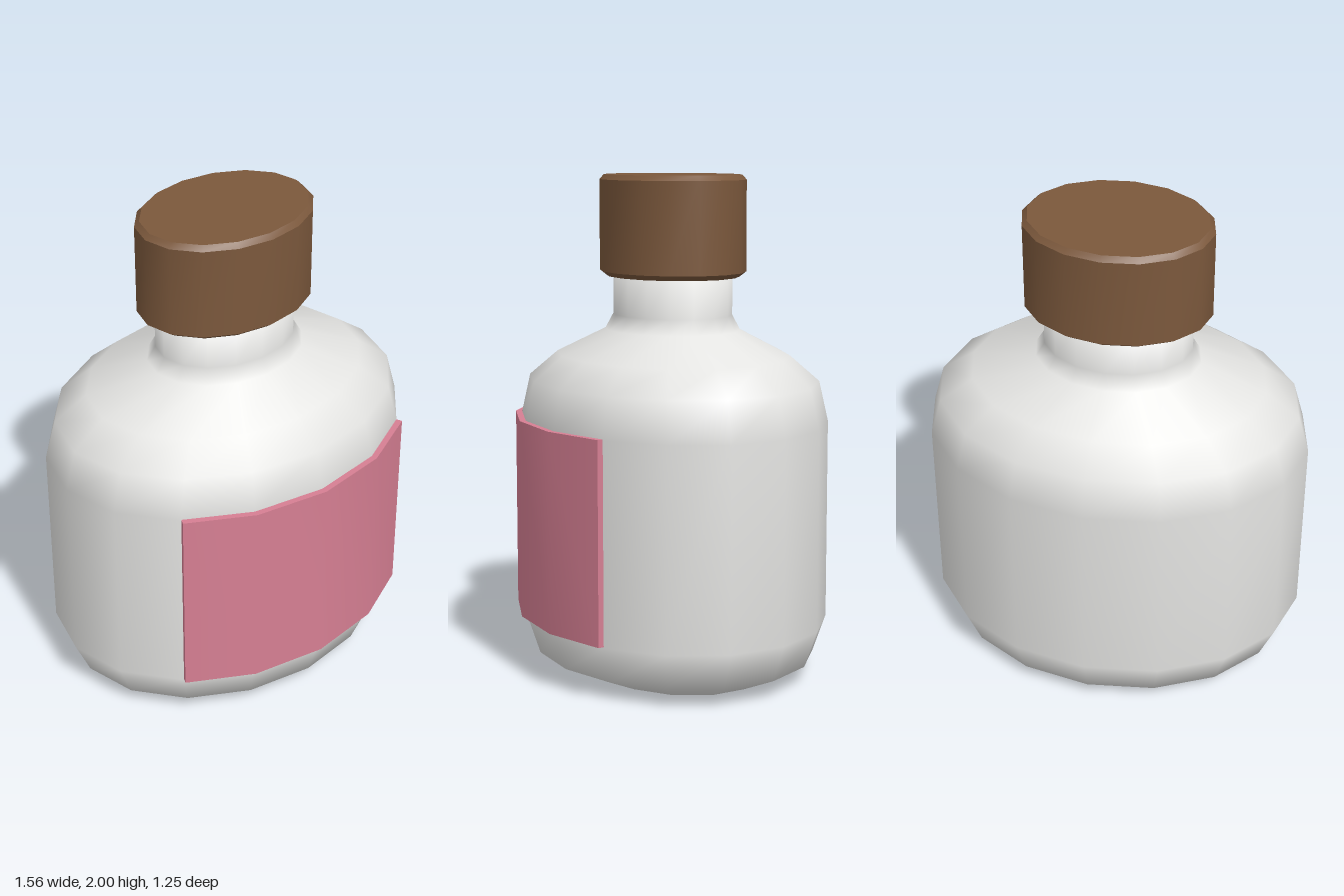
import * as THREE from 'three';
import { toCreasedNormals } from 'three/addons/utils/BufferGeometryUtils.js';

const SIDES = 16;
const CENTER_Z = -0.015;

// Closed loft of elliptical rings, each [radiusX, radiusZ, y], listed bottom to top
function ellipseLoft(rings) {
  const pos = [], index = [];
  for (const [rx, rz, y] of rings) {
    for (let i = 0; i < SIDES; i++) {
      const a = (i / SIDES) * Math.PI * 2;
      pos.push(rx * Math.cos(a), y, CENTER_Z + rz * Math.sin(a));
    }
  }
  const last = rings.length - 1;
  const bottom = pos.length / 3, top = bottom + 1;
  pos.push(0, rings[0][2], CENTER_Z, 0, rings[last][2], CENTER_Z);
  for (let i = 0; i < SIDES; i++) {
    const j = (i + 1) % SIDES;
    for (let r = 0; r < last; r++) {
      const a = r * SIDES + i, b = r * SIDES + j;
      index.push(a, a + SIDES, b, b, a + SIDES, b + SIDES);
    }
    index.push(bottom, i, j, top, last * SIDES + j, last * SIDES + i);
  }
  const g = new THREE.BufferGeometry();
  g.setAttribute('position', new THREE.Float32BufferAttribute(pos, 3));
  g.setIndex(index);
  g.computeVertexNormals();
  return g;
}

export function createModel() {
  const glass = new THREE.MeshStandardMaterial({ name: 'pale grey', color: 0xe4e4e2 });
  const wood = new THREE.MeshStandardMaterial({ name: 'brown', color: 0x7b583c });
  const pink = new THREE.MeshStandardMaterial({ name: 'pink', color: 0xd67f93 });

  const model = new THREE.Group();
  model.name = 'bottle';
  const add = (name, geometry, material) => {
    const mesh = new THREE.Mesh(geometry, material);
    mesh.name = name;
    model.add(mesh);
  };

  // Body with bevelled foot, rounded shoulders and neck
  add('body', ellipseLoft([
    [0.55, 0.38, 0], [0.715, 0.56, 0.07], [0.78, 0.61, 0.22], [0.78, 0.61, 1.02],
    [0.735, 0.575, 1.18], [0.6, 0.46, 1.28], [0.335, 0.267, 1.38],
    [0.3, 0.235, 1.44], [0.3, 0.235, 1.62],
  ]), glass);

  // Stopper with small bevels
  add('cap', toCreasedNormals(ellipseLoft([
    [0.345, 0.263, 1.595], [0.375, 0.288, 1.615], [0.375, 0.288, 1.98], [0.355, 0.27, 2],
  ]), 0.7), wood);

  // Label wrapped over the four front facets
  const inner = [[-0.55, 0.417], [-0.298, 0.549], [0, 0.595], [0.298, 0.549], [0.55, 0.417]];
  const outer = [[0.56, 0.44], [0.303, 0.573], [0, 0.62], [-0.303, 0.573], [-0.56, 0.44]];
  const shape = new THREE.Shape([...inner, ...outer].map(([x, z]) => new THREE.Vector2(x, -z)));
  const label = new THREE.ExtrudeGeometry(shape, { depth: 0.8, bevelEnabled: false });
  label.rotateX(-Math.PI / 2).translate(0, 0.225, 0);
  add('label', toCreasedNormals(label, 0.6), pink);

  return model;
}
